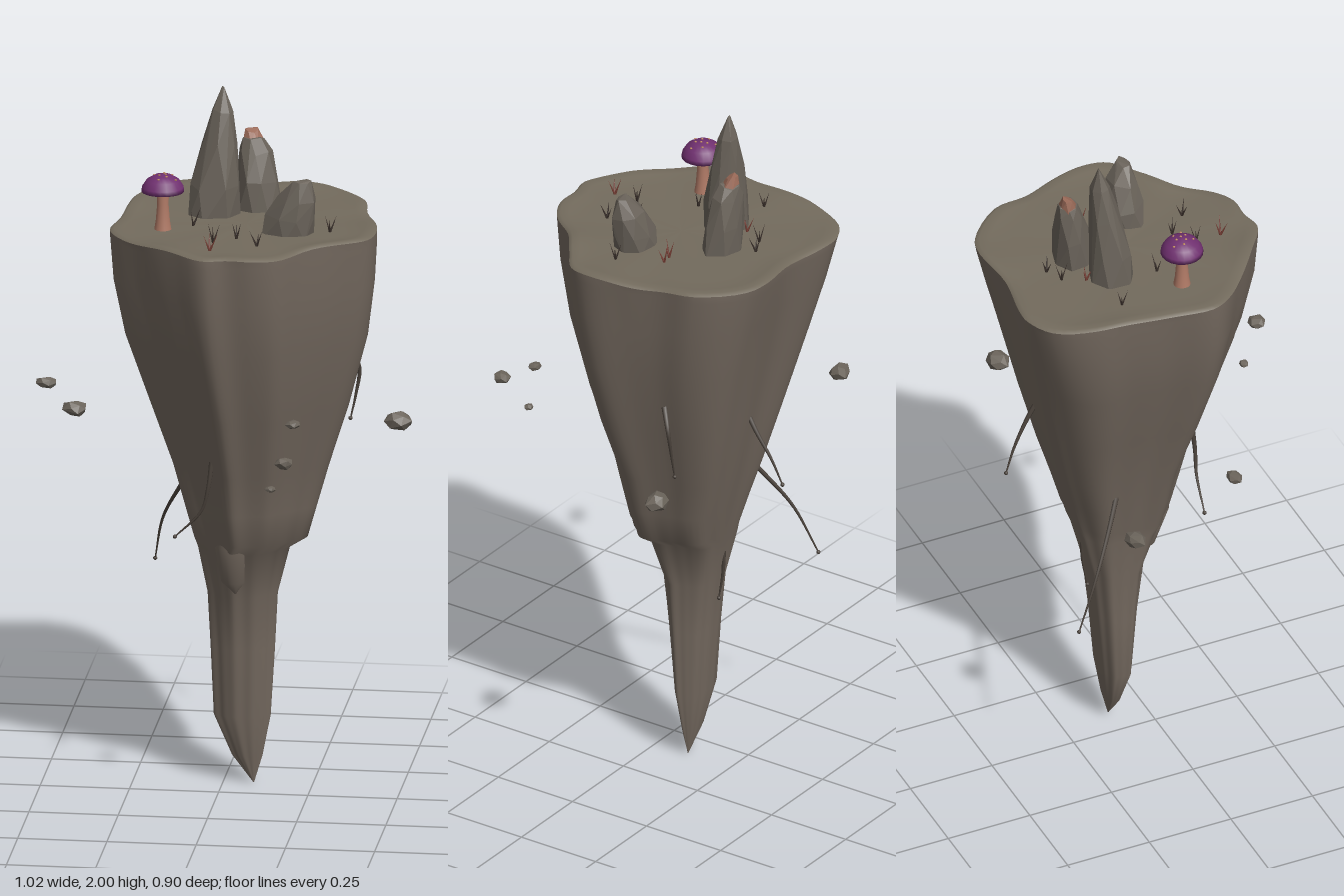
import * as THREE from 'three';
import { ConvexGeometry } from 'three/addons/geometries/ConvexGeometry.js';

const mat = (name, color, extra = {}) => {
  const m = new THREE.MeshStandardMaterial({ color, ...extra });
  m.name = name;
  return m;
};

// Small seeded random
let seed = 7;
const rnd = () => (seed = (seed * 16807) % 2147483647) / 2147483647;
const jitter = (a) => (rnd() * 2 - 1) * a;

// Skin a list of closed rings, ordered from the inside of the top downwards
function loft(rings) {
  const n = rings[0].length, pos = rings.flat(2), idx = [];
  for (let i = 0; i < rings.length - 1; i++) {
    for (let j = 0; j < n; j++) {
      const k = (j + 1) % n;
      const a = i * n + j, b = i * n + k, c = a + n, d = b + n;
      idx.push(a, b, c, b, d, c);
    }
  }
  const g = new THREE.BufferGeometry();
  g.setAttribute('position', new THREE.Float32BufferAttribute(pos, 3));
  g.setIndex(idx);
  g.computeVertexNormals();
  return g;
}

export function createModel() {
  seed = 7;
  const root = new THREE.Group();
  root.name = 'floatingIsland';
  const M = {
    earth: mat('earth brown', 0x74695f),
    ground: mat('ground olive', 0x736b5d),
    stone: mat('stone grey', 0x6a635a, { flatShading: true }),
    rust: mat('rusty stone', 0x9a6a58, { flatShading: true }),
    cap: mat('mushroom purple', 0x703070),
    spot: mat('mushroom spot', 0xc08a60),
    stem: mat('stem pink', 0xb07a66),
    grass: mat('dark grass', 0x3a302b),
    redGrass: mat('red grass', 0x7d4238),
    bark: mat('root brown', 0x4a423b),
  };
  const add = (name, geo, material, parent = root) => {
    const m = new THREE.Mesh(geo, material);
    m.name = name;
    parent.add(m);
    return m;
  };

  // Plan outline of the island, x and z
  const plan = [
    [-.135, -.453], [-.075, -.453], [.055, -.432], [.19, -.448], [.265, -.43], [.37, -.32],
    [.39, -.22], [.425, -.12], [.44, -.01], [.425, .055], [.355, .11], [.26, .18],
    [.19, .265], [.125, .298], [.055, .298], [-.01, .309], [-.095, .255], [-.19, .18],
    [-.27, .10], [-.30, .04], [-.285, -.08], [-.275, -.205], [-.26, -.30], [-.21, -.41]];
  const outline = new THREE.CatmullRomCurve3(
    plan.map(([x, z]) => new THREE.Vector3((x - .07) / .37, 0, (z + .072) / .381)), true)
    .getPoints(96).slice(0, 96);

  // One ring stretched to its limits in x and z; round blends towards an ellipse
  const ring = (y, x0, x1, z0, z1, round = 0, flute = 0, wave = 0) => outline.map((p) => {
    const a = Math.atan2(p.z, p.x), r = Math.hypot(p.x, p.z);
    const s = (1 + (1 / r - 1) * round) * (1 + flute * (Math.sin(7 * a + 1) + .6 * Math.sin(12 * a)));
    return [(x0 + x1) / 2 + p.x * s * (x1 - x0) / 2,
      y + wave * (Math.sin(4 * a) + .6 * Math.sin(9 * a + 1)),
      (z0 + z1) / 2 + p.z * s * (z1 - z0) / 2];
  });
  const inset = (y, s, wave) =>
    ring(y, .07 - .37 * s, .07 + .37 * s, -.072 - .381 * s, -.072 + .381 * s, 0, 0, wave);

  add('groundTop', loft([inset(1.637, .001, 0), inset(1.637, .75, .001), inset(1.642, .9, .003),
    inset(1.645, .97, .004), inset(1.638, 1, .004)]), M.ground);

  const levels = [
    [1.638, -.30, .44, -.453, .309, 0, 0, .004],
    [1.615, -.297, .438, -.45, .307, 0, .004],
    [1.5, -.285, .428, -.425, .295, 0, .012],
    [1.34, -.25, .405, -.385, .26, 0, .02],
    [1.13, -.18, .35, -.335, .195, 0, .025],
    [.95, -.125, .295, -.29, .125, .1, .025],
    [.83, -.095, .262, -.255, .095, .2, .025],
    [.735, -.07, .235, -.23, .07, .3, .03],
    [.70, -.062, .185, -.22, .04, .4, .03],
    [.56, -.04, .15, -.185, -.02, .6, .03],
    [.40, -.033, .142, -.167, -.042, .7, .03],
    [.20, -.025, .13, -.15, -.06, .7, .03],
    [.08, .025, .108, -.128, -.085, .7, .03],
    [0, .084, .086, -.106, -.104, 1, 0]];
  add('taperedBody', loft(levels.map((l) => ring(...l))), M.earth);

  // Overhanging spur on the front
  const spur = (y, x, z, rx, rz) => outline.map((_, j) => {
    const a = j / 96 * Math.PI * 2;
    return [x + Math.cos(a) * rx, y, z + Math.sin(a) * rz];
  });
  add('frontSpur', loft([spur(.86, .05, .02, .05, .04), spur(.72, .04, .01, .05, .045),
    spur(.61, .04, -.02, .035, .035), spur(.575, .045, -.03, .005, .02)]), M.earth);

  // Standing stones: hulls of uneven rings [y, x, z, radius x, radius z]
  const hull = (rows, sides) => new ConvexGeometry(rows.flatMap(([y, x, z, rx, rz], i) =>
    Array.from({ length: sides }, (_, k) => {
      const a = (k + .3 * i) / sides * Math.PI * 2 + jitter(.15), s = 1 + jitter(.08);
      return new THREE.Vector3(x + Math.cos(a) * rx * s, y + (i ? jitter(.008) : 0), z + Math.sin(a) * rz * s);
    })));
  add('tallStone', hull([[1.62, -.035, -.153, .073, .063], [1.72, -.028, -.155, .066, .058],
    [1.84, -.018, -.165, .05, .044], [1.93, -.01, -.173, .03, .028], [1.992, -.01, -.178, .003, .003]], 7), M.stone);
  add('middleStone', hull([[1.62, .082, -.218, .07, .055], [1.72, .08, -.222, .064, .052],
    [1.8, .073, -.23, .048, .038], [1.835, .068, -.235, .032, .027]], 7), M.stone);
  add('middleStoneTip', hull([[1.825, .068, -.235, .032, .027], [1.856, .063, -.238, .018, .015]], 7), M.rust);
  add('lowStone', hull([[1.62, .195, -.005, .075, .058], [1.68, .2, -.005, .075, .056],
    [1.74, .222, .002, .052, .042], [1.786, .235, .01, .025, .018]], 7), M.stone);

  // Mushroom
  const mushroom = new THREE.Group();
  mushroom.name = 'mushroom';
  mushroom.position.set(-.155, 1.63, .01);
  root.add(mushroom);
  const lathe = (pts) => new THREE.LatheGeometry(pts.map((p) => new THREE.Vector2(...p)), 20);
  add('stem', lathe([[.025, 0], [.02, .03], [.016, .08], [.018, .135]]), M.stem, mushroom);
  add('cap', lathe([[.012, .13], [.045, .122], [.06, .117], [.058, .13], [.046, .149], [.025, .162], [0, .166]]),
    M.cap, mushroom);
  for (let i = 0; i < 9; i++) {
    const r = .008 + .004 * i, a = i * 2.4;
    const s = add('capSpot', new THREE.SphereGeometry(.004, 6, 4), M.spot, mushroom);
    s.position.set(Math.cos(a) * r, .166 - r * r * 7.5, Math.sin(a) * r);
    s.scale.y = .6;
  }

  // Grass tufts [x, z, red]
  const blade = new THREE.ConeGeometry(.0035, .05, 4).translate(0, .025, 0);
  [[.05, -.31], [0, -.287], [-.175, -.183], [-.03, -.225, 1], [-.075, -.03], [.215, -.13, 1],
    [.245, -.135, 1], [.31, -.015], [.06, .08], [0, .125], [.125, .14], [0, .2, 1]].forEach(([x, z, red]) => {
    const tuft = new THREE.Group();
    tuft.name = 'grassTuft';
    tuft.position.set(x, 1.636, z);
    root.add(tuft);
    const turn = rnd() * 6;
    for (let k = 0; k < 3; k++) {
      const b = add('blade', blade, red ? M.redGrass : M.grass, tuft);
      b.rotation.set(0, turn + k * 2.1, .25 + rnd() * .2, 'YXZ');
      b.scale.y = .8 + rnd() * .4;
    }
  });

  // Floating rocks [x, y, z, width, height, depth]
  [[-.435, 1.02, -.26, .068, .048, .06], [.47, 1.02, -.265, .08, .056, .065],
    [-.48, 1.18, .02, .062, .034, .045], [.245, 1.172, .3, .042, .026, .036],
    [.19, 1, .36, .03, .018, .026], [.235, 1.095, .42, .052, .036, .048]].forEach(([x, y, z, w, h, d]) => {
    const pts = [];
    for (let i = 0; i < 18; i++) {
      const v = 1 - 2 * (i + .5) / 18, r = Math.sqrt(1 - v * v), s = .5 + jitter(.06);
      pts.push(new THREE.Vector3(Math.cos(i * 2.4) * r * s * w, v * s * h, Math.sin(i * 2.4) * r * s * d));
    }
    add('floatingRock', new ConvexGeometry(pts), M.stone).position.set(x, y, z);
  });

  // Hanging roots, thinning towards a small bud
  [[[-.09, .9, -.16], [-.13, .83, -.2], [-.19, .71, -.27], [-.22, .57, -.335]],
    [[.1, 1.16, -.31], [.1, 1.1, -.345], [.09, 1.02, -.39], [.08, .945, -.42]],
    [[.34, 1.24, -.2], [.365, 1.18, -.23], [.355, 1.1, -.235], [.34, 1.03, -.235]],
    [[-.005, 1, .11], [-.015, .92, .115], [-.035, .85, .11], [-.11, .77, .1]],
    [[.05, .72, -.2], [.05, .6, -.2], [.05, .5, -.185]]].forEach((pts) => {
    const curve = new THREE.CatmullRomCurve3(pts.map((p) => new THREE.Vector3(...p)));
    const g = new THREE.TubeGeometry(curve, 16, .008, 6);
    const p = g.attributes.position, v = new THREE.Vector3();
    for (let i = 0; i < p.count; i++) {
      const t = Math.floor(i / 7) / 16;
      v.fromBufferAttribute(p, i).lerp(curve.getPointAt(t), .75 * t);
      p.setXYZ(i, v.x, v.y, v.z);
    }
    add('root', g, M.bark);
    add('rootBud', new THREE.SphereGeometry(.006, 8, 6), M.bark).position.set(...pts[pts.length - 1]);
  });

  return root;
}
